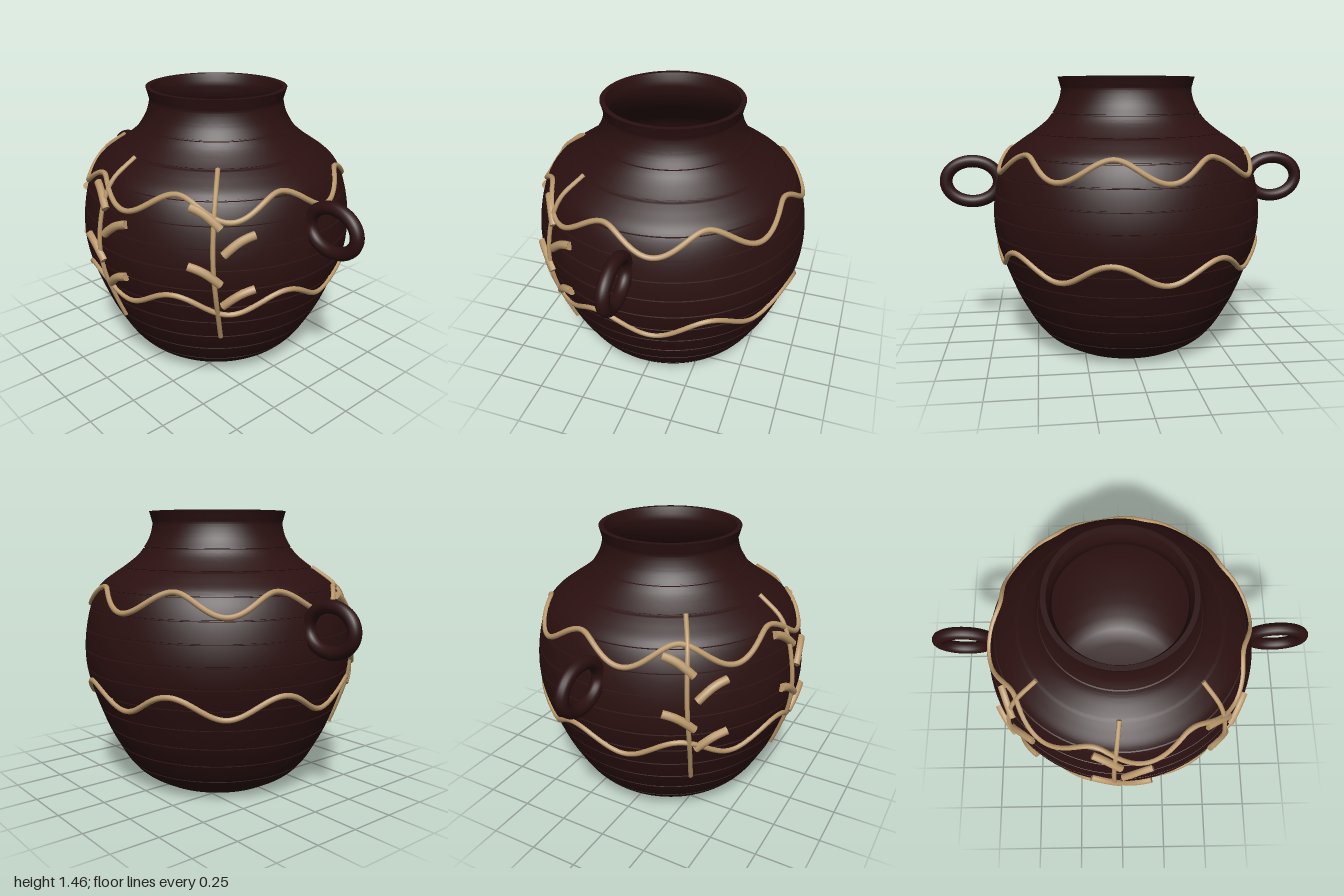
import * as THREE from 'three';
import { toCreasedNormals } from 'three/addons/utils/BufferGeometryUtils.js';

const clay = new THREE.MeshStandardMaterial({ color: 0x2b1010 });
clay.name = 'dark clay';
const tan = new THREE.MeshStandardMaterial({ color: 0xb8976a });
tan.name = 'tan rope';

// Outer silhouette of the pot as [radius, height]
const profile = [
  [0.335, 0], [0.43, 0.055], [0.5, 0.127], [0.56, 0.225], [0.615, 0.335], [0.68, 0.51],
  [0.71, 0.62], [0.72, 0.72], [0.715, 0.82], [0.695, 0.93], [0.665, 1.02], [0.628, 1.08],
  [0.565, 1.13], [0.485, 1.185], [0.425, 1.235], [0.392, 1.28], [0.365, 1.33], [0.35, 1.39],
  [0.355, 1.42], [0.366, 1.46],
];
const outline = new THREE.SplineCurve(profile.map(([r, y]) => new THREE.Vector2(r, y))).getPoints(140);

// Pot radius at a given height
function radiusAt(y) {
  for (let i = 1; i < outline.length; i++) {
    const a = outline[i - 1], b = outline[i];
    if (y <= b.y) return a.x + (b.x - a.x) * (y - a.y) / (b.y - a.y);
  }
  return outline[outline.length - 1].x;
}

// Point on the pot; the angle is in degrees from +x towards +z
function onPot(deg, y, lift = 0) {
  const t = THREE.MathUtils.degToRad(deg), r = radiusAt(y) + lift;
  return new THREE.Vector3(r * Math.cos(t), y, r * Math.sin(t));
}

function add(parent, name, geometry, material) {
  const mesh = new THREE.Mesh(geometry, material);
  mesh.name = name;
  parent.add(mesh);
  return mesh;
}

// Hollow pot with thin grooves between the coils
function potGeometry() {
  const grooves = Array.from({ length: 12 }, (_, k) => 0.12 + 0.1045 * k);
  const outer = outline.filter(p => grooves.every(g => Math.abs(p.y - g) > 0.005));
  for (const g of grooves) {
    for (const [dy, depth] of [[-0.004, 0], [-0.002, 0.006], [0.002, 0.006], [0.004, 0]]) {
      outer.push(new THREE.Vector2(radiusAt(g + dy) - depth, g + dy));
    }
  }
  outer.sort((a, b) => a.y - b.y);
  const inner = profile.slice(1, -1).reverse().map(([r, y]) => new THREE.Vector2(r - 0.03, y));
  const points = [
    new THREE.Vector2(0, 0), ...outer,
    new THREE.Vector2(0.34, 1.46), ...inner, new THREE.Vector2(0.3, 0.03), new THREE.Vector2(0, 0.03),
  ];
  return toCreasedNormals(new THREE.LatheGeometry(points, 96), 0.6);
}

// Tube through the points, with flat discs closing the ends
function addStrip(parent, name, points, radius, segments) {
  const curve = new THREE.CatmullRomCurve3(points);
  const strip = new THREE.Group();
  strip.name = name;
  add(strip, name + 'Tube', new THREE.TubeGeometry(curve, segments, radius, 10), tan);
  for (const [u, sign] of [[0, -1], [1, 1]]) {
    const cap = add(strip, name + 'End', new THREE.CircleGeometry(radius, 10), tan);
    cap.position.copy(curve.getPoint(u));
    cap.quaternion.setFromUnitVectors(
      new THREE.Vector3(0, 0, 1), curve.getTangent(u).multiplyScalar(sign));
  }
  parent.add(strip);
}

export function createModel() {
  const model = new THREE.Group();
  model.name = 'pot';
  const vessel = new THREE.Group();
  vessel.name = 'vessel';
  vessel.position.z = -0.013;
  model.add(vessel);

  add(vessel, 'potBody', potGeometry(), clay);

  // Oval ring handles
  for (const [name, side] of [['leftHandle', 1], ['rightHandle', -1]]) {
    const ring = new THREE.EllipseCurve(0, 0, 0.139, 0.108).getPoints(32).slice(0, -1);
    const path = new THREE.CatmullRomCurve3(ring.map(p => new THREE.Vector3(p.x, p.y, 0)), true);
    const handle = add(vessel, name, new THREE.TubeGeometry(path, 64, 0.033, 14, true), clay);
    handle.position.set(0.828 * side, 0.91, 0);
  }

  // Wavy ropes around the belly, eight waves each
  for (const [name, height] of [['upperRope', 1.025], ['lowerRope', 0.545]]) {
    const points = [];
    for (let d = 0; d < 360; d += 3) {
      const wave = Math.cos(THREE.MathUtils.degToRad(8 * (d - 12.5)));
      points.push(onPot(d, height + 0.054 * wave, 0.003));
    }
    const path = new THREE.CatmullRomCurve3(points, true);
    add(vessel, name, new THREE.TubeGeometry(path, 360, 0.014, 8, true), tan);
  }

  // Three sprigs, each a stem with four stubby leaves: [start, end] as [degrees, height]
  const leaves = [
    [[12.5, 1.035], [0.5, 0.945]],
    [[-0.5, 0.825], [-12.5, 0.912]],
    [[12.5, 0.768], [0.5, 0.678]],
    [[-0.5, 0.553], [-12.5, 0.643]],
  ];
  for (const base of [38.5, 90, 141.5]) {
    const sprig = new THREE.Group();
    sprig.name = 'sprig';
    const stem = [[1.3, 1.17], [2.4, 1.08], [3, 0.98], [3.3, 0.86], [3.1, 0.74], [2.2, 0.6], [1.1, 0.46], [0, 0.335]];
    addStrip(sprig, 'stem', stem.map(([d, y]) => onPot(base + d, y, 0.006)), 0.012, 48);
    for (const [[d0, y0], [d1, y1]] of leaves) {
      const points = [0, 0.25, 0.5, 0.75, 1].map(t => onPot(
        base + d0 + (d1 - d0) * t,
        y0 + (y1 - y0) * t + 0.016 * Math.sin(Math.PI * t), 0.007));
      addStrip(sprig, 'leaf', points, 0.021, 12);
    }
    vessel.add(sprig);
  }
  return model;
}
